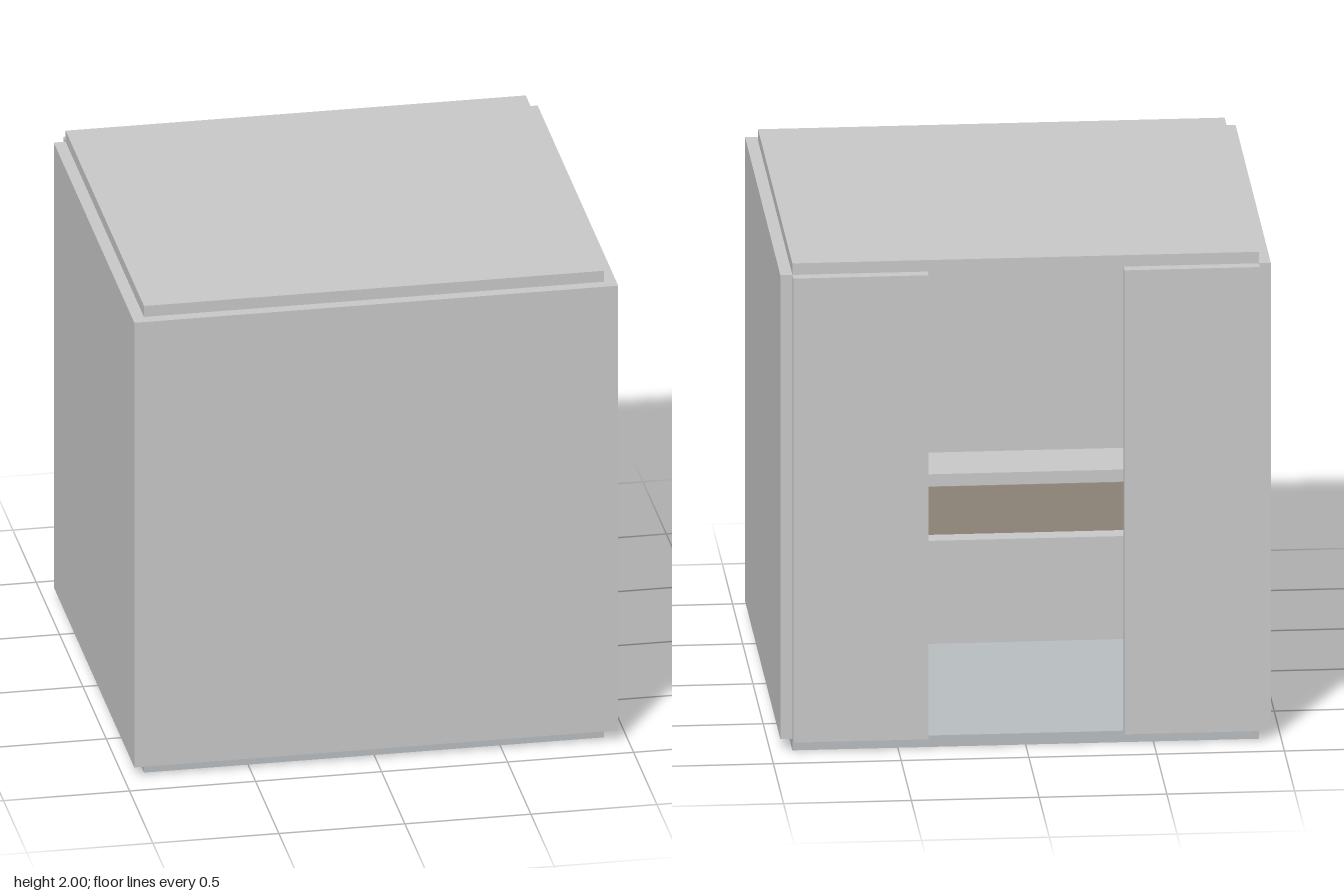
import * as THREE from 'three';

const grey = new THREE.MeshStandardMaterial({ color: 0xcccccc });
const floorGrey = new THREE.MeshStandardMaterial({ color: 0xbbc0c3 });
const tan = new THREE.MeshStandardMaterial({ color: 0xa09488 });

// Box given by its lower and upper bounds on each axis
function box(name, [x0, x1], [y0, y1], [z0, z1], material = grey) {
  const mesh = new THREE.Mesh(new THREE.BoxGeometry(x1 - x0, y1 - y0, z1 - z0), material);
  mesh.position.set((x0 + x1) / 2, (y0 + y1) / 2, (z0 + z1) / 2);
  mesh.name = name;
  return mesh;
}

export function createModel() {
  const room = new THREE.Group();
  room.name = 'room';

  const X = 0.913, Z = 0.84, T = 0.047; // inner half sizes and wall thickness
  const wallY = [T, 2 - T];

  // Floor and ceiling slabs
  room.add(box('floor', [-X, X], [0, T], [-Z, Z], floorGrey));
  room.add(box('ceiling', [-X, X], [2 - T, 2], [-Z, Z]));

  // Closed front wall, side walls and the two panels beside the back opening
  room.add(box('frontWall', [-X - T, X + T], wallY, [Z, Z + T]));
  for (const [side, s] of [['left', 1], ['right', -1]]) {
    const span = (a, b) => (s > 0 ? [a, b] : [-b, -a]);
    room.add(box(side + 'Wall', span(X, X + T), wallY, [-Z, Z]));
    room.add(box(side + 'BackPanel', span(0.383, X), wallY, [-Z - T, -Z]));
  }

  // Counter inside the room, facing the opening
  const counter = new THREE.Group();
  counter.name = 'counter';
  counter.add(box('counterBody', [-0.85, 0.85], [T, 0.667], [0.375, 0.66], tan));
  counter.add(box('counterTop', [-0.81, 0.81], [0.667, 0.717], [0.38, 0.65]));
  counter.add(box('counterFrontBlock', [-0.6, 0.6], [T, 0.47], [0.3, 0.375]));
  room.add(counter);

  return room;
}
